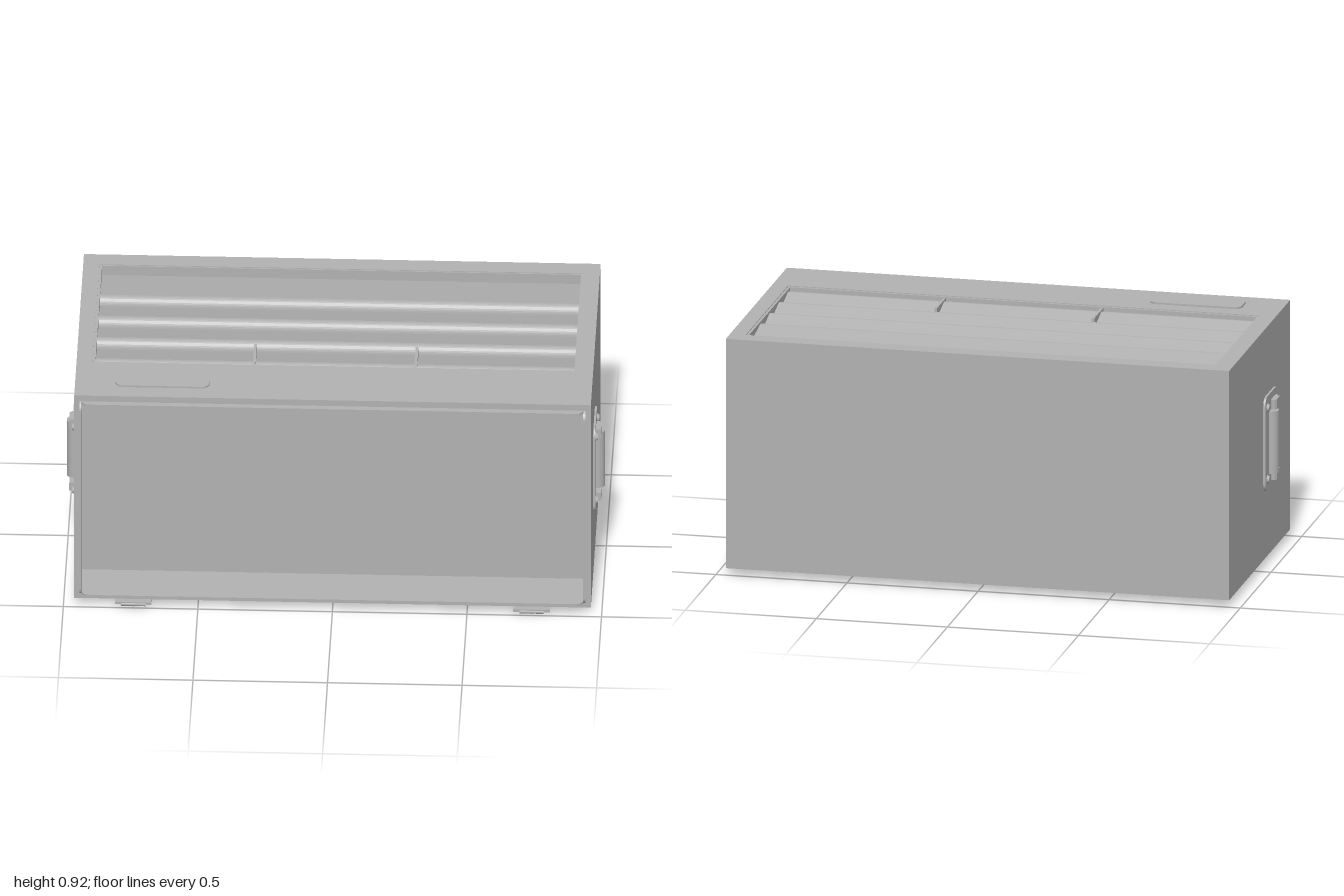
import * as THREE from 'three';

const grey = new THREE.MeshStandardMaterial({ color: 0xb2b2b2, side: THREE.DoubleSide });
grey.name = 'painted grey';

function add(parent, name, geometry, x = 0, y = 0, z = 0) {
  const mesh = new THREE.Mesh(geometry, grey);
  mesh.name = name;
  mesh.position.set(x, y, z);
  parent.add(mesh);
  return mesh;
}

// box given by its limits
function block(parent, name, x0, x1, y0, y1, z0, z1) {
  return add(parent, name, new THREE.BoxGeometry(x1 - x0, y1 - y0, z1 - z0),
    (x0 + x1) / 2, (y0 + y1) / 2, (z0 + z1) / 2);
}

function roundedRect(w, h, r) {
  const s = new THREE.Shape(), a = w / 2 - r, b = h / 2 - r;
  s.absarc(a, b, r, 0, Math.PI / 2);
  s.absarc(-a, b, r, Math.PI / 2, Math.PI);
  s.absarc(-a, -b, r, Math.PI, Math.PI * 1.5);
  s.absarc(a, -b, r, Math.PI * 1.5, Math.PI * 2);
  s.closePath();
  return s;
}

function rectPath(T, x0, x1, y0, y1) {
  const p = new T();
  p.moveTo(x0, y0).lineTo(x1, y0).lineTo(x1, y1).lineTo(x0, y1).closePath();
  return p;
}

// flat shape in x/-z, thickened upwards
function slab(shape, depth) {
  return new THREE.ExtrudeGeometry(shape, { depth, bevelEnabled: false, curveSegments: 10 }).rotateX(-Math.PI / 2);
}

function buildCabinet() {
  const g = new THREE.Group();
  g.name = 'cabinet';
  for (const s of [-1, 1]) {
    block(g, 'sideWall', s * 0.95 - 0.01, s * 0.95 + 0.01, 0.03, 0.915, -0.51, 0.485);
  }
  block(g, 'floor', -0.94, 0.94, 0.03, 0.05, -0.51, 0.485);
  block(g, 'backWall', -0.94, 0.94, 0.05, 0.89, -0.51, -0.49);
  block(g, 'innerPanel', -0.94, 0.94, 0.05, 0.89, 0.3, 0.315);

  // top with vent opening
  const top = rectPath(THREE.Shape, -0.94, 0.94, -0.485, 0.51);
  top.holes.push(rectPath(THREE.Path, -0.9, 0.9, -0.25, 0.44));
  add(g, 'topPanel', slab(top, 0.025), 0, 0.89, 0);

  // thin rim strips around the open front, with rounded ends
  for (const s of [-1, 1]) {
    const side = new THREE.ExtrudeGeometry(roundedRect(0.07, 0.84, 0.034), { depth: 0.008, bevelEnabled: false });
    side.rotateY(Math.PI / 2);
    add(g, 'sideRim', side, s * 0.936 - 0.004, 0.47, 0.473);
    add(g, 'edgeRim', slab(roundedRect(1.87, 0.07, 0.034), 0.008), 0, 0.47 + s * 0.416 - 0.004, 0.473);
  }

  // raised plate on the top
  add(g, 'topPlate', slab(roundedRect(0.35, 0.105, 0.03), 0.008), -0.635, 0.914, 0.367);
  return g;
}

function buildVent() {
  const g = new THREE.Group();
  g.name = 'vent';
  const ring = rectPath(THREE.Shape, -0.9, 0.9, -0.25, 0.44);
  ring.holes.push(rectPath(THREE.Path, -0.89, 0.89, -0.24, 0.435));
  add(g, 'ventFrame', slab(ring, 0.055), 0, 0.857, 0);
  block(g, 'ventFloor', -0.89, 0.89, 0.855, 0.864, -0.435, 0.24);

  // slats rise towards the front and roll over into a round nose
  for (let i = 0; i < 4; i++) {
    const nose = -0.212 + i * 0.15;
    const start = i === 0 ? -0.435 : nose - 0.15;
    const s = new THREE.Shape();
    s.moveTo(-start, 0.862);
    s.lineTo(-start, 0.872);
    s.lineTo(-(nose - 0.036), 0.903);
    s.quadraticCurveTo(-nose, 0.908, -nose, 0.862);
    s.closePath();
    const geo = new THREE.ExtrudeGeometry(s, { depth: 1.78, bevelEnabled: false, curveSegments: 10 });
    add(g, 'slat', geo.rotateY(Math.PI / 2), -0.89, 0, 0);
  }
  for (const x of [-0.3, 0.3]) block(g, 'ventDivider', x - 0.005, x + 0.005, 0.862, 0.91, 0.09, 0.24);
  return g;
}

function buildHandle(s) {
  const g = new THREE.Group();
  g.name = s > 0 ? 'leftHandle' : 'rightHandle';
  const plate = new THREE.ExtrudeGeometry(roundedRect(0.2, 0.365, 0.035), { depth: 0.008, bevelEnabled: false });
  add(g, 'handlePlate', plate.rotateY(s * Math.PI / 2), s * 0.96, 0.4725, 0.145);
  add(g, 'handleGrip', new THREE.CylinderGeometry(0.029, 0.029, 0.24, 24), s * 0.971, 0.47, 0.13);
  for (const t of [-1, 1]) {
    const y = 0.4725 + t * 0.138;
    block(g, 'handleBracket', s * 0.976 - 0.013, s * 0.976 + 0.013, y - 0.017, y + 0.017, 0.145, 0.193);
    add(g, 'handlePin', new THREE.CylinderGeometry(0.012, 0.012, 0.05, 16), s * 0.976, y - t * 0.008, 0.145);
    for (const z of [0.08, 0.215]) {
      const bolt = new THREE.CylinderGeometry(0.012, 0.017, 0.01, 16).rotateZ(-s * Math.PI / 2);
      add(g, 'plateBolt', bolt, s * 0.972, y, z);
    }
  }
  return g;
}

function buildLatch(x) {
  const g = new THREE.Group();
  g.name = 'latch';
  // half-round base plate curving towards the rear
  const base = new THREE.Shape();
  base.moveTo(0.068, -0.03);
  base.lineTo(0.068, 0.01);
  base.absellipse(0, 0.01, 0.068, 0.072, 0, Math.PI);
  base.lineTo(-0.068, -0.03);
  base.closePath();
  add(g, 'latchPlate', slab(base, 0.01), 0, 0.018, 0.475);
  // folded turning wings and hook
  block(g, 'latchKnob', -0.045, 0.045, 0.004, 0.02, 0.45, 0.468);
  for (const s of [-1, 1]) {
    add(g, 'latchWing', new THREE.CylinderGeometry(0.022, 0.022, 0.012, 18), s * 0.04, 0.011, 0.459);
  }
  const hook = new THREE.CylinderGeometry(0.01, 0.01, 0.09, 14).rotateZ(Math.PI / 2);
  add(g, 'latchHook', hook, 0, 0.018, 0.497);
  add(g, 'latchPivot', new THREE.CylinderGeometry(0.014, 0.014, 0.024, 16), 0, 0.012, 0.475);
  g.position.x = x;
  return g;
}

export function createModel() {
  const model = new THREE.Group();
  model.name = 'equipmentCase';
  model.add(buildCabinet(), buildVent());
  for (const s of [-1, 1]) model.add(buildHandle(s), buildLatch(s * 0.74));
  return model;
}
